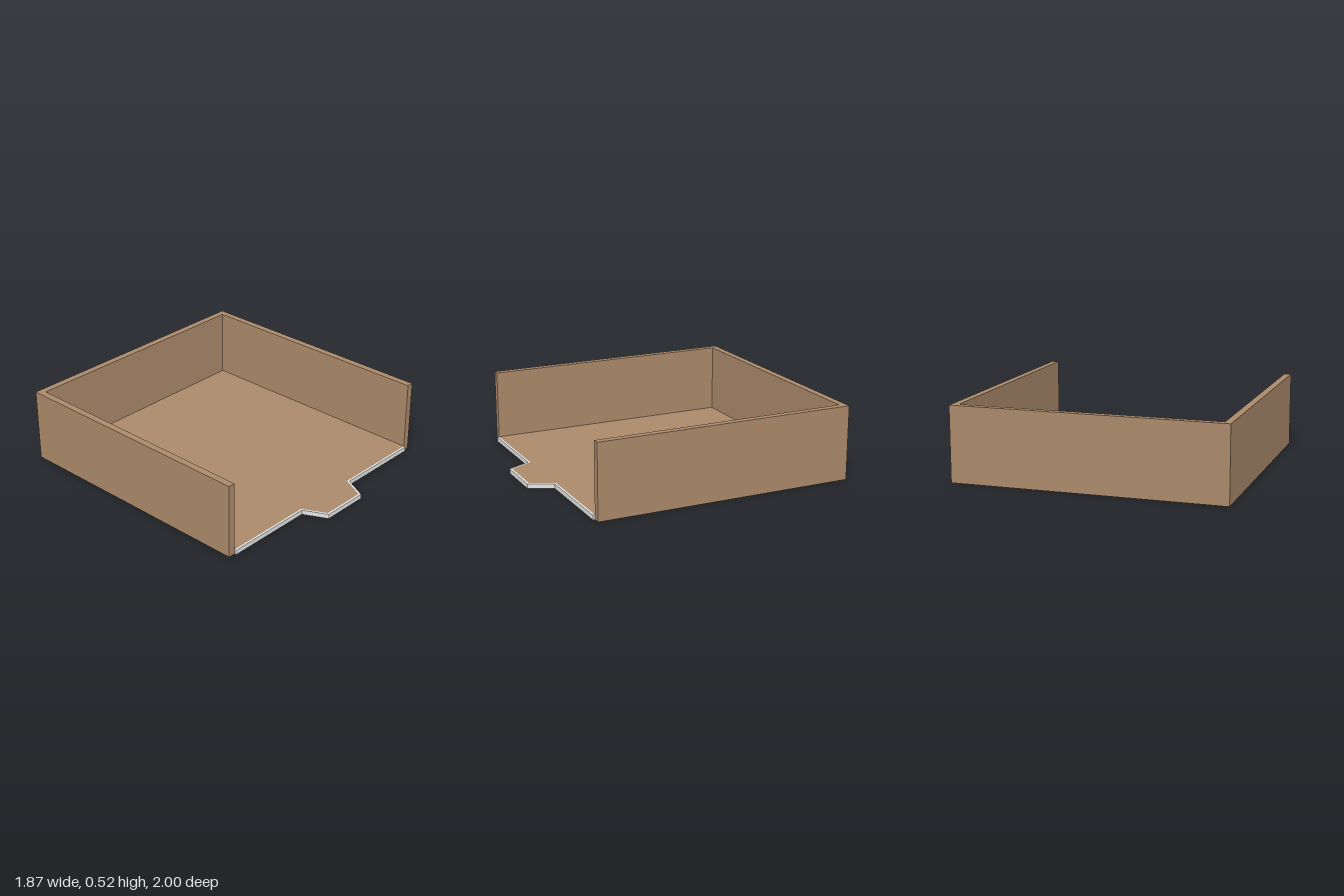
import * as THREE from 'three';

const brown = new THREE.MeshStandardMaterial({ color: 0xaa896a, side: THREE.DoubleSide });
brown.name = 'brown';
const white = new THREE.MeshStandardMaterial({ color: 0xe3e3e4, side: THREE.DoubleSide });
white.name = 'pale edge';

const OUT = 0.935, IN = 0.887;          // wall outer and inner half width
const BACK = -1, BACK_IN = -0.952, FRONT = 0.823;
const FLOOR = 0.033, TOP = 0.518;

// Plan outline from [x, z] points
const plan = (points) => new THREE.Shape(points.map(([x, z]) => new THREE.Vector2(x, -z)));

// Lays a plan geometry flat at a height and names it
function lay(name, geometry, y, material) {
  geometry.rotateX(-Math.PI / 2);
  geometry.translate(0, y, 0);
  const mesh = new THREE.Mesh(geometry, material);
  mesh.name = name;
  return mesh;
}

// Thin upright panels from the ground to floor height along a run of points
function fence(name, points, material) {
  const group = new THREE.Group();
  group.name = name;
  for (let i = 0; i < points.length - 1; i++) {
    const [ax, az] = points[i], [bx, bz] = points[i + 1];
    const geometry = new THREE.PlaneGeometry(Math.hypot(bx - ax, bz - az), FLOOR);
    const panel = new THREE.Mesh(geometry, material);
    panel.name = name + 'Panel';
    panel.position.set((ax + bx) / 2, FLOOR / 2, (az + bz) / 2);
    panel.rotation.y = Math.atan2(az - bz, bx - ax);
    group.add(panel);
  }
  return group;
}

// Completes a left-right symmetric run of points
const mirrored = (half) => [...half, ...half.map(([x, z]) => [-x, z]).reverse()];

export function createModel() {
  const group = new THREE.Group();
  group.name = 'openTray';

  const floorFront = mirrored([[-IN, FRONT], [-0.241, FRONT], [-0.161, 0.985]]);
  const lipFront = mirrored([[-IN, 0.837], [-0.25, 0.837], [-0.17, 1]]);
  const backCorners = [[IN, BACK_IN], [-IN, BACK_IN]];

  // Thin floor sheet with a front tab, hollow underneath
  const floorShape = plan([...floorFront, ...backCorners]);
  group.add(lay('floor', new THREE.ShapeGeometry(floorShape), FLOOR, brown));

  // Pale lip on top, following the front edge and tab
  const lipShape = plan([...lipFront, ...floorFront.slice().reverse()]);
  group.add(lay('frontLip', new THREE.ShapeGeometry(lipShape), FLOOR, white));

  // Pale rim hanging from the whole floor outline
  group.add(fence('floorRim', [...lipFront, ...backCorners, lipFront[0]], white));

  // Three walls in one U-shaped piece
  const outer = mirrored([[-IN, FRONT], [-OUT, FRONT], [-OUT, BACK]]);
  const wallShape = plan([...outer, ...backCorners]);
  const wallGeometry = new THREE.ExtrudeGeometry(wallShape, { depth: TOP - FLOOR, bevelEnabled: false });
  group.add(lay('walls', wallGeometry, FLOOR, brown));

  // Thin skirt that carries the outer wall faces down to the ground
  group.add(fence('wallSkirt', outer, brown));
  return group;
}
